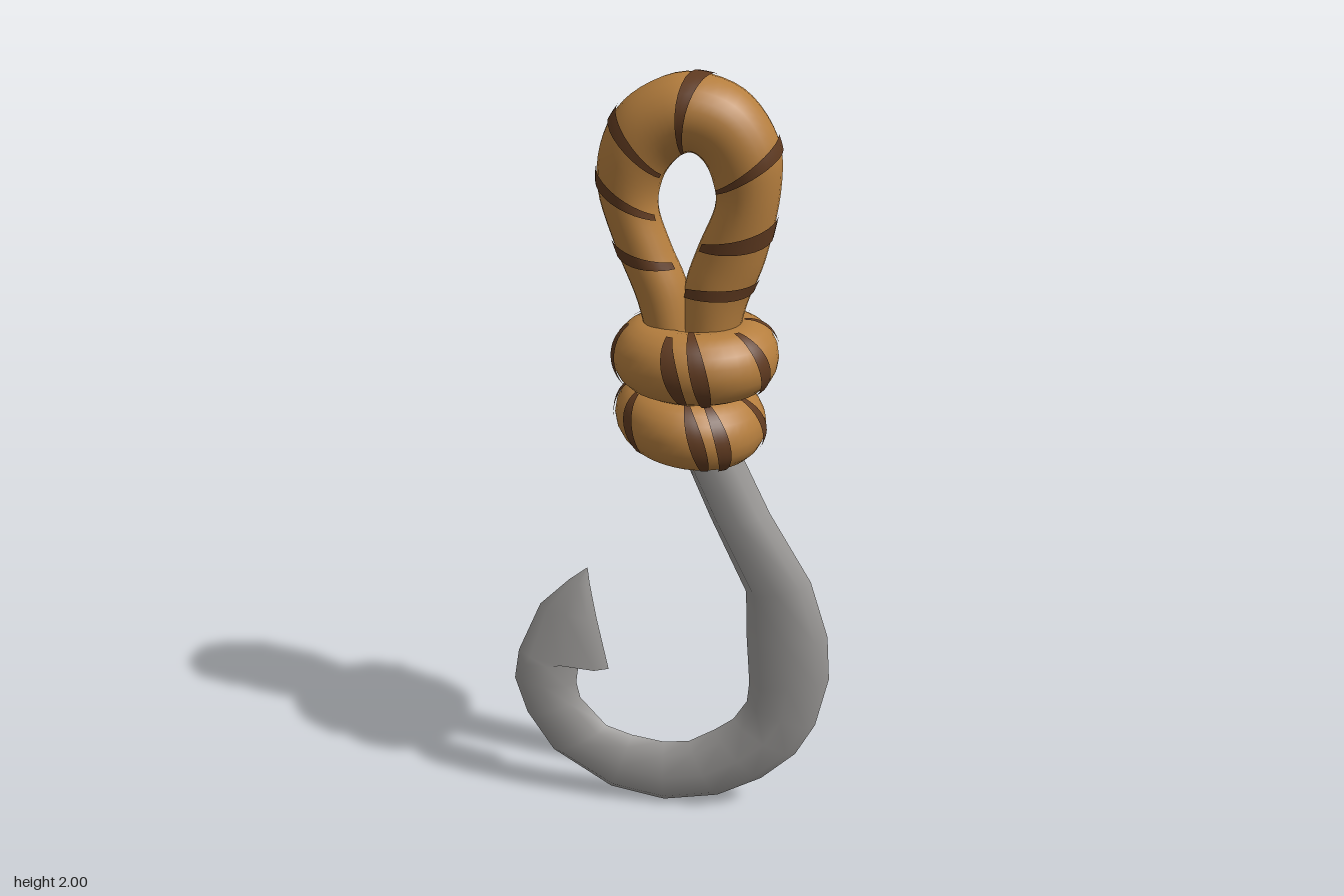
import * as THREE from 'three';
import { mergeVertices, toCreasedNormals } from 'three/addons/utils/BufferGeometryUtils.js';

const TAU = Math.PI * 2;

// Grid over a surface f(u, v); u runs along the part, v around it.
function surfaceGeometry(f, nu, nv) {
  const pos = [], index = [];
  for (let i = 0; i <= nu; i++)
    for (let j = 0; j <= nv; j++) pos.push(...f(i / nu, j / nv).toArray());
  for (let i = 0; i < nu; i++)
    for (let j = 0; j < nv; j++) {
      const a = i * (nv + 1) + j, b = a + nv + 1;
      index.push(a, a + 1, b, a + 1, b + 1, b);
    }
  let g = new THREE.BufferGeometry();
  g.setAttribute('position', new THREE.Float32BufferAttribute(pos, 3));
  g.setIndex(index);
  g = mergeVertices(g, 1e-5);
  g.computeVertexNormals();
  return g;
}

// Oval cross-section between an outer and an inner edge point, with half depth h.
function oval(outer, inner, h, v) {
  const c = Math.cos(v * TAU), s = Math.sin(v * TAU);
  const p = outer.clone().add(inner).multiplyScalar(0.5);
  p.addScaledVector(outer.clone().sub(inner), c / 2);
  p.z = h * s;
  return p;
}

// Narrow ribbon lying just above a surface, slanting from (u0, v0) to (u1, v1).
function stripeGeometry(f, u0, v0, u1, v1, width) {
  return surfaceGeometry((s, t) => {
    const taper = 0.55 + 0.45 * Math.sin(Math.PI * t);
    const u = u0 + (u1 - u0) * t + (s - 0.5) * width * taper;
    const v = v0 + (v1 - v0) * t, e = 1e-3;
    const du = f(u + e, v).sub(f(u - e, v)), dv = f(u, v + e).sub(f(u, v - e));
    return f(u, v).addScaledVector(dv.cross(du).normalize(), 0.004);
  }, 3, 20);
}

// Each section: outer x, y, inner x, y, half depth
const HOOK = [
  [0.13, 1.2, 0.0, 1.18, 0.06],
  [0.17, 1.09, 0.03, 1.07, 0.06],
  [0.25, 0.92, 0.1, 0.9, 0.055],
  [0.36, 0.73, 0.195, 0.69, 0.05],
  [0.41, 0.57, 0.2, 0.55, 0.047],
  [0.42, 0.44, 0.21, 0.41, 0.045],
  [0.39, 0.29, 0.205, 0.35, 0.042],
  [0.34, 0.19, 0.17, 0.29, 0.04],
  [0.25, 0.1, 0.12, 0.25, 0.038],
  [0.13, 0.03, 0.05, 0.205, 0.036],
  [-0.02, 0.0, -0.02, 0.195, 0.035],
  [-0.17, 0.03, -0.11, 0.21, 0.035],
  [-0.33, 0.14, -0.18, 0.235, 0.035],
  [-0.4, 0.26, -0.25, 0.32, 0.035],
  [-0.43, 0.37, -0.26, 0.37, 0.035],
  [-0.42, 0.43, -0.25, 0.44, 0.035],
  [-0.415, 0.46, -0.17, 0.42, 0.034],
  [-0.35, 0.61, -0.2, 0.58, 0.03],
  [-0.27, 0.69, -0.215, 0.68, 0.015],
  [-0.22, 0.73, -0.22, 0.73, 0],
];

const LOOP = [
  [-0.05, 1.34, 0.06, 1.34, 0.075],
  [-0.08, 1.47, 0.04, 1.5, 0.075],
  [-0.13, 1.6, 0.0, 1.6, 0.075],
  [-0.17, 1.74, -0.03, 1.69, 0.08],
  [-0.155, 1.86, -0.02, 1.76, 0.09],
  [-0.09, 1.95, 0.01, 1.805, 0.095],
  [0.03, 2.0, 0.045, 1.825, 0.1],
  [0.16, 1.965, 0.075, 1.805, 0.098],
  [0.24, 1.86, 0.095, 1.76, 0.09],
  [0.25, 1.74, 0.1, 1.7, 0.08],
  [0.22, 1.58, 0.06, 1.6, 0.075],
  [0.18, 1.47, 0.03, 1.5, 0.075],
  [0.15, 1.34, 0.02, 1.34, 0.075],
];

export function createModel() {
  const model = new THREE.Group();
  const material = (name, color) => {
    const m = new THREE.MeshStandardMaterial({ color });
    m.name = name;
    return m;
  };
  const metal = material('grey metal', 0x9b9997);
  const rope = material('tan rope', 0xb57e3e);
  const dark = material('dark brown stripe', 0x5f3a20);
  const add = (name, geometry, mat) => {
    const mesh = new THREE.Mesh(geometry, mat);
    mesh.name = name;
    model.add(mesh);
    return mesh;
  };

  // Metal hook: faceted shank, bend and barbed point
  const hook = (u, v) => {
    const [ox, oy, ix, iy, h] = HOOK[Math.round(u * (HOOK.length - 1))];
    return oval(new THREE.Vector3(ox, oy, 0), new THREE.Vector3(ix, iy, 0), h, v);
  };
  add('hook', toCreasedNormals(surfaceGeometry(hook, HOOK.length - 1, 8), 0.95), metal);

  // Rope loop
  const curve = (k) => new THREE.CatmullRomCurve3(
    LOOP.map((s) => new THREE.Vector3(s[k], s[k + 1], s[4])), false, 'catmullrom', 0.5);
  const outerEdge = curve(0), innerEdge = curve(2);
  const loop = (u, v) => {
    const o = outerEdge.getPoint(u), i = innerEdge.getPoint(u), h = o.z;
    o.z = i.z = 0;
    return oval(o, i, h, v);
  };
  add('ropeLoop', surfaceGeometry(loop, 60, 24), rope);

  // Slanted stripes round the loop: section at the outer edge, section at the inner front
  const loopStripes = [
    [2.1, 1.6], [3.3, 2.8], [4.5, 4.2], [6.3, 5.6],
    [8.1, 8.4], [9.5, 9.9], [10.5, 11.0],
  ];
  const n = LOOP.length - 1;
  for (const [outer, inner] of loopStripes) {
    const slope = (inner - outer) / 0.45;
    add('loopStripe', stripeGeometry(loop, (outer - slope * 0.36) / n, -0.36,
      (outer + slope * 0.42) / n, 0.42, 0.3 / n), dark);
  }

  // Two rope wraps forming the knot, each with stripes
  const wraps = [
    { name: 'upperWrap', x: 0.06, y: 1.34, rx: 0.115, rz: 0.105, tilt: 0, turn: 0.06 },
    { name: 'lowerWrap', x: 0.05, y: 1.175, rx: 0.1, rz: 0.105, tilt: -0.09, turn: 0.0 },
  ];
  for (const w of wraps) {
    const ring = (u, v) => {
      const t = u * TAU, b = v * TAU;
      const wobble = 1 + 0.03 * Math.sin(3 * t + w.y * 9);
      const r = 0.085 * Math.cos(b) * wobble;
      const x = (w.rx + r) * Math.cos(t);
      return new THREE.Vector3(w.x + x,
        w.y + 0.086 * Math.sin(b) + x * w.tilt, (w.rz + r) * Math.sin(t));
    };
    add(w.name, surfaceGeometry(ring, 40, 20), rope);
    for (let k = 0; k < 9; k++) {
      const u = (k + 0.3 * Math.sin(k * 2.3)) / 9 + w.turn + 0.03;
      const reach = 0.15 + 0.05 * Math.sin(k * 1.7);
      add(w.name + 'Stripe', stripeGeometry(ring, u - 0.02, -reach, u + 0.025, reach + 0.06, 0.032), dark);
    }
  }

  // Rope filling the middle of the knot
  const core = add('knotCore', new THREE.CylinderGeometry(0.11, 0.1, 0.26, 16), rope);
  core.position.set(0.055, 1.255, 0);

  return model;
}
